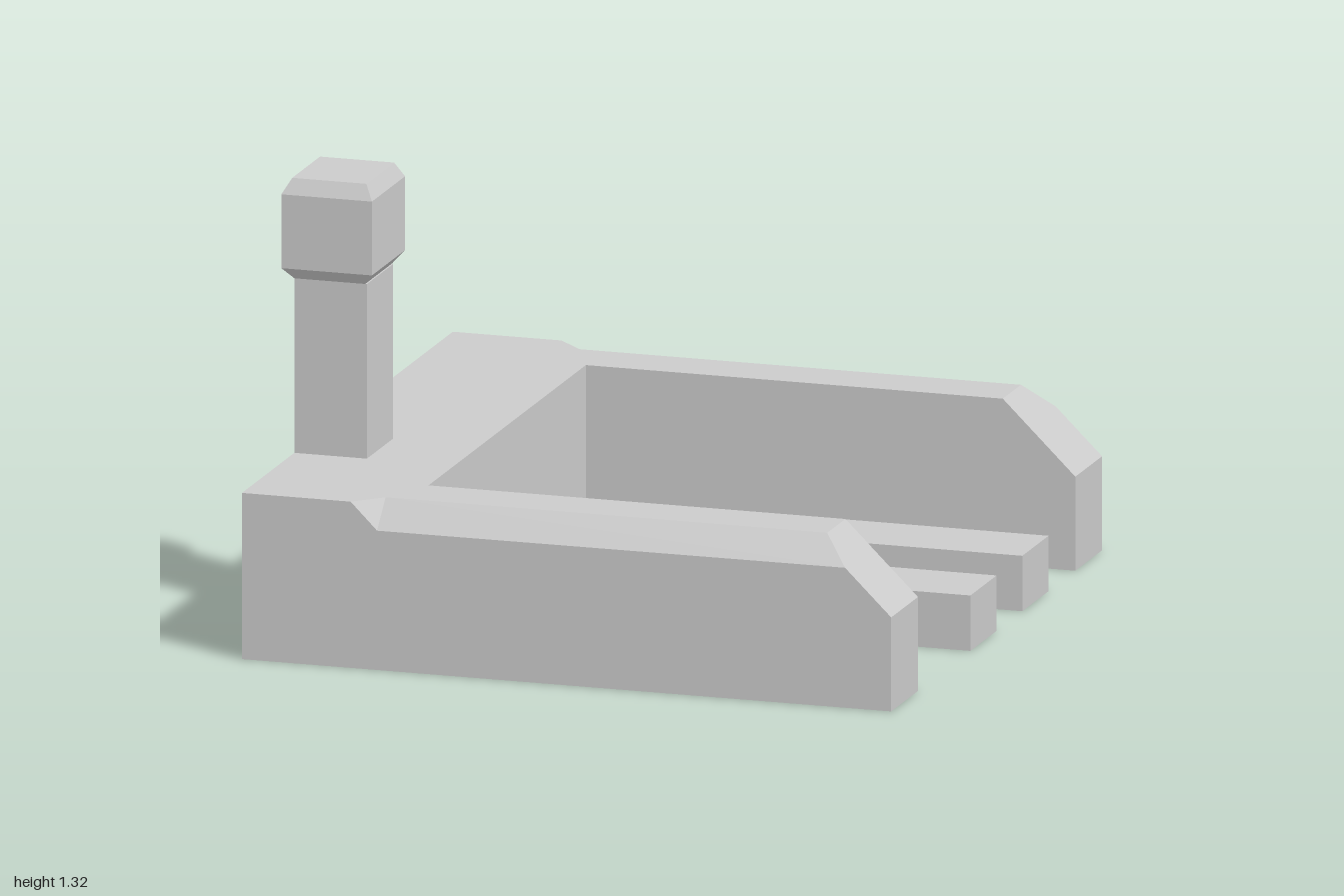
import * as THREE from 'three';
import { ConvexGeometry } from 'three/addons/geometries/ConvexGeometry.js';

const material = new THREE.MeshStandardMaterial({ color: 0xcccccc, flatShading: true });

function addMesh(parent, name, geometry) {
  const mesh = new THREE.Mesh(geometry, material);
  mesh.name = name;
  parent.add(mesh);
}

// Box given by its limits on each axis
function box(x0, x1, y0, y1, z0, z1) {
  return new THREE.BoxGeometry(x1 - x0, y1 - y0, z1 - z0)
    .translate((x0 + x1) / 2, (y0 + y1) / 2, (z0 + z1) / 2);
}

// Flat-sided solid through a list of corners
function solid(corners) {
  return new ConvexGeometry(corners.map((c) => new THREE.Vector3(...c)));
}

export function createModel() {
  const model = new THREE.Group();
  const back = -0.97, front = 1, top = 0.495;
  const inner = 0.735, outer = 0.985, bevel = 0.08;
  const bevelStart = -0.56, slopeStart = 0.78, noseTop = 0.28;

  // Cross bar joining the two rails
  addMesh(model, 'crossBar', box(back, -0.485, 0, top, -inner, inner));

  // Side rails, mirrored in z
  for (const s of [1, -1]) {
    const rail = new THREE.Group();
    rail.name = s > 0 ? 'frontRail' : 'backRail';
    const a = inner * s, b = outer * s, edge = (outer - bevel) * s;

    // Section at the start of the bevel, shared by both halves
    const section = [
      [bevelStart, 0, a], [bevelStart, 0, b], [bevelStart, top - bevel, b],
      [bevelStart, top, edge], [bevelStart, top, a],
    ];
    // Square root of the rail, with a small corner facet running into the bevel
    addMesh(rail, 'railRoot', solid([
      ...section,
      [back, 0, a], [back, 0, b], [back, top, b], [back, top, a],
      [bevelStart - bevel, top, b],
    ]));
    // Bevelled arm with a sloping nose
    addMesh(rail, 'railArm', solid([
      ...section,
      [slopeStart, top, a], [slopeStart, top, edge],
      [slopeStart + bevel, top - bevel * noseRatio(top, noseTop, slopeStart, front), b],
      [front, noseTop, a], [front, noseTop, b], [front, 0, a], [front, 0, b],
    ]));
    model.add(rail);
  }

  // Two low slats between the rails
  for (const z of [-0.485, 0]) {
    addMesh(model, 'slat', box(-0.485, front, 0, 0.165, z, z + 0.245));
  }

  // Post with a bevelled cap
  addMesh(model, 'post', box(back, -0.75, top, 1.015, 0.25, 0.495));
  const rings = [
    [1.015, 0.03], [1.05, 0], [1.27, 0], [1.315, 0.025],
  ];
  const capCorners = [];
  for (const [y, inset] of rings) {
    for (const x of [-1 + inset, -0.725 - inset]) {
      for (const z of [0.215 + inset, 0.525 - inset]) capCorners.push([x, y, z]);
    }
  }
  addMesh(model, 'postCap', solid(capCorners));

  return model;
}

// Fall of the nose slope per unit of length
function noseRatio(y0, y1, x0, x1) {
  return (y0 - y1) / (x1 - x0);
}
